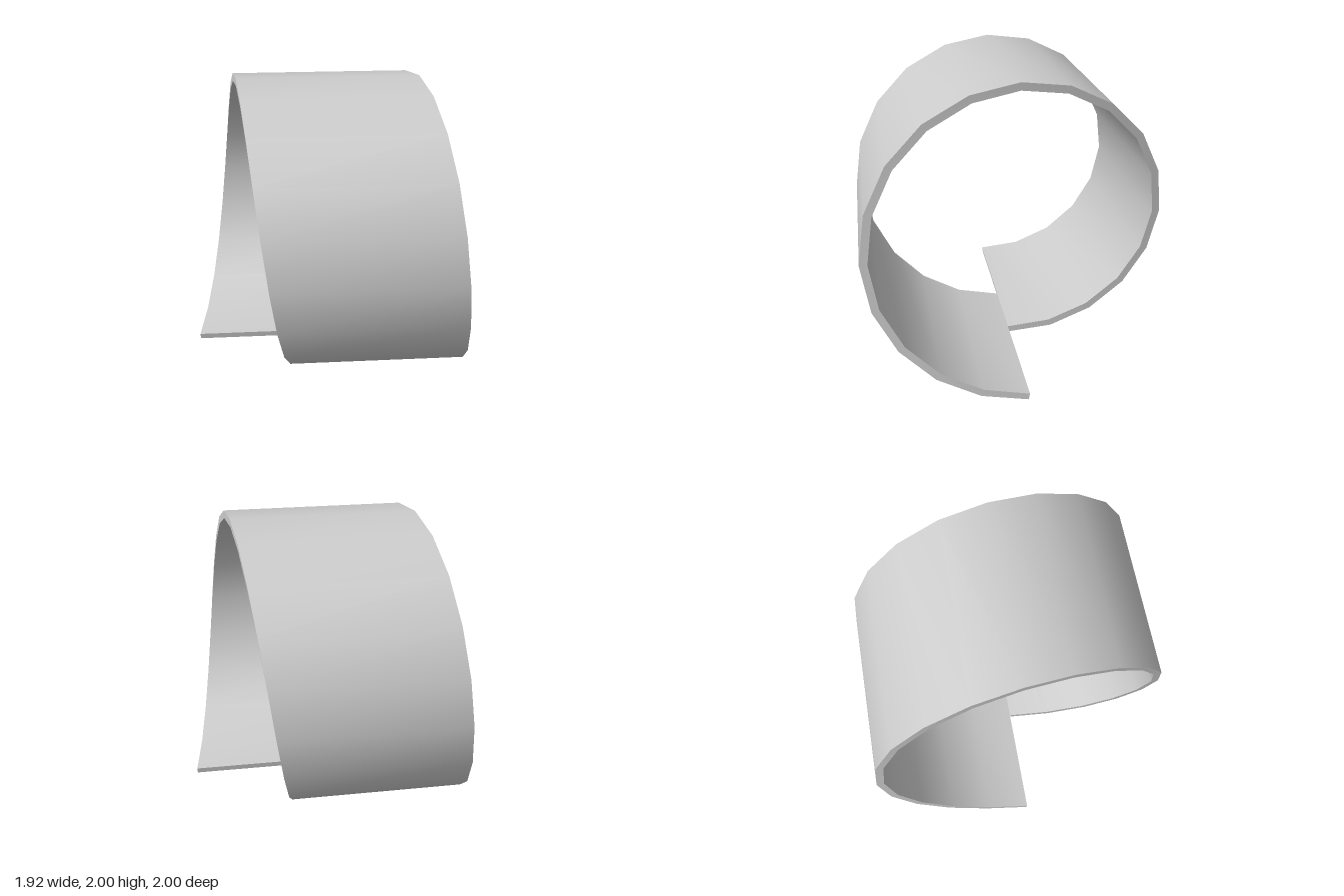
import * as THREE from 'three';
import { mergeGeometries } from 'three/addons/utils/BufferGeometryUtils.js';

const SEGMENTS = 20, INNER = 0.95, OUTER = 1, HALF_WIDTH = 0.59, RISE = 0.74, CENTRE_Y = 0.998;

// Smooth strip of quads between two rails of points
function strip(a, b) {
  const pos = [], index = [];
  a.forEach((p, i) => {
    pos.push(...p, ...b[i]);
    const k = 2 * i;
    if (i > 0) index.push(k - 2, k - 1, k + 1, k - 2, k + 1, k);
  });
  const g = new THREE.BufferGeometry();
  g.setAttribute('position', new THREE.Float32BufferAttribute(pos, 3));
  g.setIndex(index);
  g.computeVertexNormals();
  return g;
}

// One helical edge of the band, starting at the bottom and turning over the back
function rail(radius, side) {
  return Array.from({ length: SEGMENTS + 1 }, (_, i) => {
    const t = i / SEGMENTS, a = t * Math.PI * 2;
    const p = [RISE * (t - 0.5) + side * HALF_WIDTH, CENTRE_Y - radius * Math.cos(a), -radius * Math.sin(a)];
    // the ends are cut square to their last segment, leaving a small notch
    if (radius === OUTER && i % SEGMENTS === 0) {
      p[1] = 0.003;
      p[2] = i === 0 ? -0.008 : 0.008;
    }
    return p;
  });
}

export function createModel() {
  const group = new THREE.Group();
  group.name = 'helicalBand';
  const material = new THREE.MeshStandardMaterial({ color: 0xcccccc });

  const il = rail(INNER, -1), ir = rail(INNER, 1);
  const ol = rail(OUTER, -1), or = rail(OUTER, 1);
  const n = SEGMENTS;

  const parts = {
    outerSurface: strip(or, ol),
    innerSurface: strip(il, ir),
    sideEdges: mergeGeometries([strip(ir, or), strip(ol, il)]),
    endCaps: mergeGeometries([
      strip([ol[0], il[0]], [or[0], ir[0]]),
      strip([or[n], ir[n]], [ol[n], il[n]]),
    ]),
  };
  for (const [name, geometry] of Object.entries(parts)) {
    const mesh = new THREE.Mesh(geometry, material);
    mesh.name = name;
    group.add(mesh);
  }
  return group;
}
